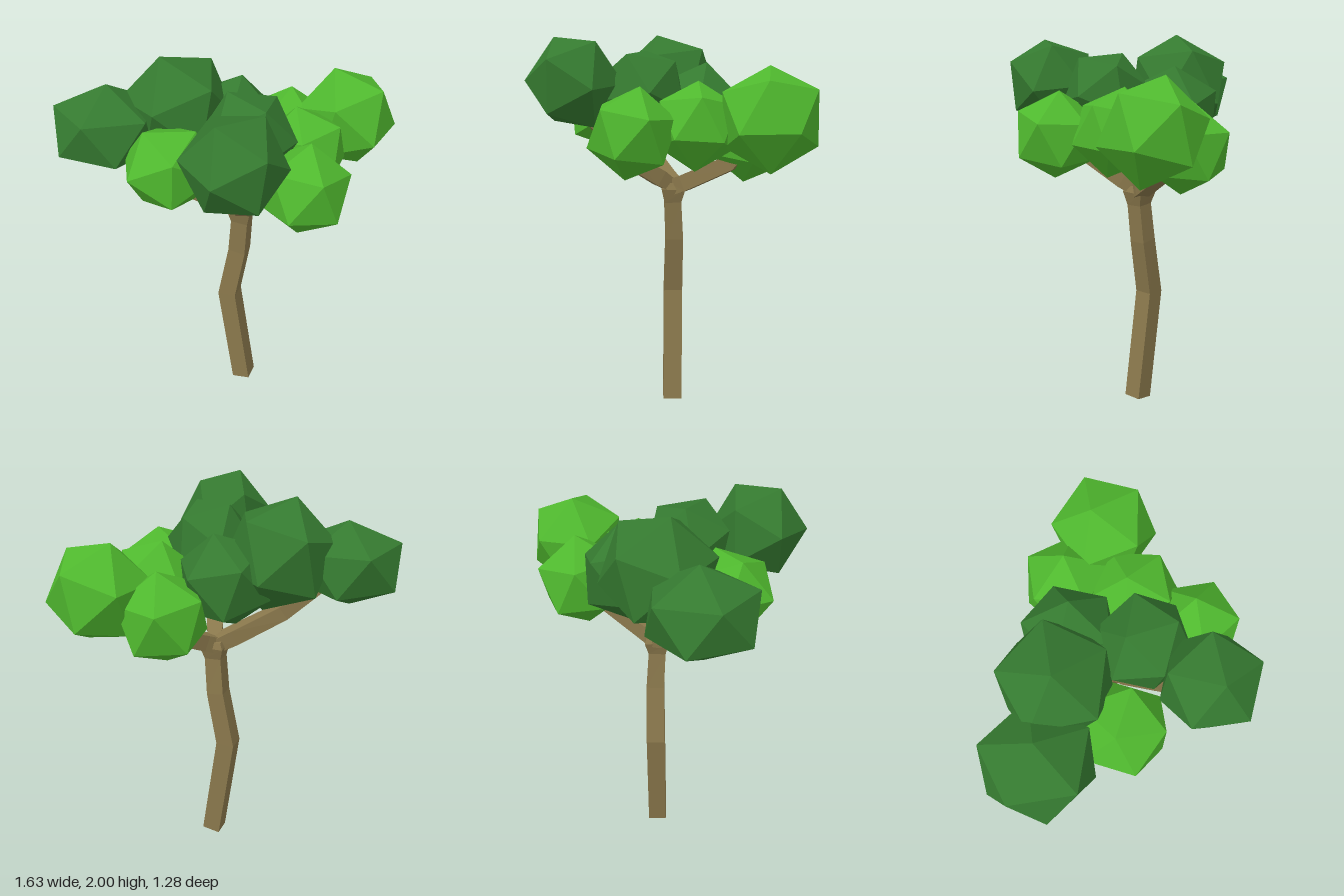
import * as THREE from 'three';

const V = (x, y, z) => new THREE.Vector3(x, y, z);
const flat = (color) => new THREE.MeshStandardMaterial({ color, flatShading: true });
const bark = flat(0x8a784c);
const darkLeaf = flat(0x357a30);
const brightLeaf = flat(0x4fb82e);

// Four-sided limb along nodes [x, y, z, radius]; ref points at the first corner
function limb(name, nodes, ref, turn = 0) {
  const pos = [], idx = [], pts = nodes.map((n) => V(n[0], n[1], n[2]));
  const last = pts.length - 1;
  pts.forEach((p, i) => {
    const t = pts[Math.min(i + 1, last)].clone().sub(pts[Math.max(i - 1, 0)]).normalize();
    const u = ref.clone().addScaledVector(t, -ref.dot(t)).normalize();
    const v = t.clone().cross(u);
    for (let k = 0; k < 4; k++) {
      const a = turn + k * Math.PI / 2;
      const c = p.clone().addScaledVector(u, nodes[i][3] * Math.cos(a))
        .addScaledVector(v, nodes[i][3] * Math.sin(a));
      pos.push(c.x, Math.max(c.y, 0), c.z);
    }
  });
  for (let i = 0; i < last; i++) {
    for (let k = 0; k < 4; k++) {
      const a = i * 4 + k, b = i * 4 + (k + 1) % 4;
      idx.push(a, b, b + 4, a, b + 4, a + 4);
    }
  }
  const e = last * 4;
  idx.push(0, 2, 1, 0, 3, 2, e, e + 1, e + 2, e, e + 2, e + 3);
  const geo = new THREE.BufferGeometry();
  geo.setAttribute('position', new THREE.Float32BufferAttribute(pos, 3));
  geo.setIndex(idx);
  geo.computeVertexNormals();
  const mesh = new THREE.Mesh(geo, bark);
  mesh.name = name;
  return mesh;
}

// Orthonormal frame whose y axis is a, with b in the xy plane
function frame(a, b) {
  const y = a.clone().normalize();
  const x = b.clone().addScaledVector(y, -b.dot(y)).normalize();
  return new THREE.Matrix4().makeBasis(x, y, x.clone().cross(y));
}

// Icosahedron clump: apex leans by (ax, az), next corner heads towards (bx, bz)
function clump(material, [x, y, z, r, ax, az, bx, bz, squash = 1]) {
  const phi = (1 + Math.sqrt(5)) / 2;
  const from = frame(V(0, 1, phi), V(0, -1, phi));
  const apex = V(ax, Math.sqrt(r * r - ax * ax - az * az), az);
  const to = frame(apex, V(bx, 0, bz));
  const geo = new THREE.IcosahedronGeometry(r, 0);
  geo.applyMatrix4(to.multiply(from.transpose())).scale(1, squash, 1);
  const mesh = new THREE.Mesh(geo, material);
  mesh.position.set(x, y, z);
  mesh.name = 'leafClump';
  return mesh;
}

export function createModel() {
  const tree = new THREE.Group();
  tree.name = 'tree';

  // Crooked trunk, swelling at the fork
  tree.add(limb('trunk', [
    [-0.017, 0.01, 0.01, 0.07], [-0.06, 0.615, -0.065, 0.07], [-0.023, 0.92, -0.02, 0.066],
    [-0.02, 1.12, 0, 0.063], [-0.018, 1.19, 0, 0.088], [-0.015, 1.225, 0, 0.07],
  ], V(-0.17, 0, 0.98)));

  // Three branches out of the fork
  const up = V(0, 1, 0), q = Math.PI / 4;
  tree.add(limb('rightBranch', [
    [-0.03, 1.19, 0, 0.06], [0.06, 1.225, 0, 0.06], [0.32, 1.345, -0.03, 0.055], [0.42, 1.44, -0.03, 0.048],
  ], up, q));
  tree.add(limb('frontBranch', [
    [-0.01, 1.195, 0, 0.045], [-0.06, 1.25, 0.07, 0.06], [-0.175, 1.375, 0.24, 0.056], [-0.28, 1.57, 0.35, 0.05],
  ], up, q));
  tree.add(limb('backBranch', [
    [0, 1.19, 0, 0.055], [-0.1, 1.24, -0.05, 0.06], [-0.32, 1.375, -0.18, 0.056], [-0.45, 1.53, -0.3, 0.05],
  ], up, q));

  // Foliage: x, y, z, radius, apex lean, roll direction, vertical squash
  const crown = new THREE.Group();
  crown.name = 'crown';
  const dark = [
    [-0.555, 1.655, -0.397, 0.288, 0.02, 0, -0.22, -0.16, 0.77],
    [-0.217, 1.722, -0.265, 0.29, -0.083, -0.015, 0.08, -0.27],
    [0.035, 1.61, -0.168, 0.248, 0.06, 0.01, 0.2, -0.04],
    [-0.092, 1.7, 0.16, 0.236, -0.05, -0.1, 0.08, 0.02],
    [-0.343, 1.75, 0.408, 0.25, -0.11, 0.02, 0.14, 0],
  ];
  const bright = [
    [-0.44, 1.578, 0, 0.235, -0.1, -0.05, 0.24, 0.12, 0.92],
    [0.03, 1.51, 0.44, 0.23, 0.04, -0.01, 0.155, 0.115],
    [0.235, 1.54, 0.18, 0.226, -0.02, -0.05, 0.15, -0.05],
    [0.59, 1.58, 0.085, 0.267, -0.04, -0.07, 0.2, -0.02],
    [0.37, 1.475, -0.132, 0.241, 0.03, -0.01, 0.14, -0.19],
  ];
  dark.forEach((c) => crown.add(clump(darkLeaf, c)));
  bright.forEach((c) => crown.add(clump(brightLeaf, c)));
  tree.add(crown);
  return tree;
}
